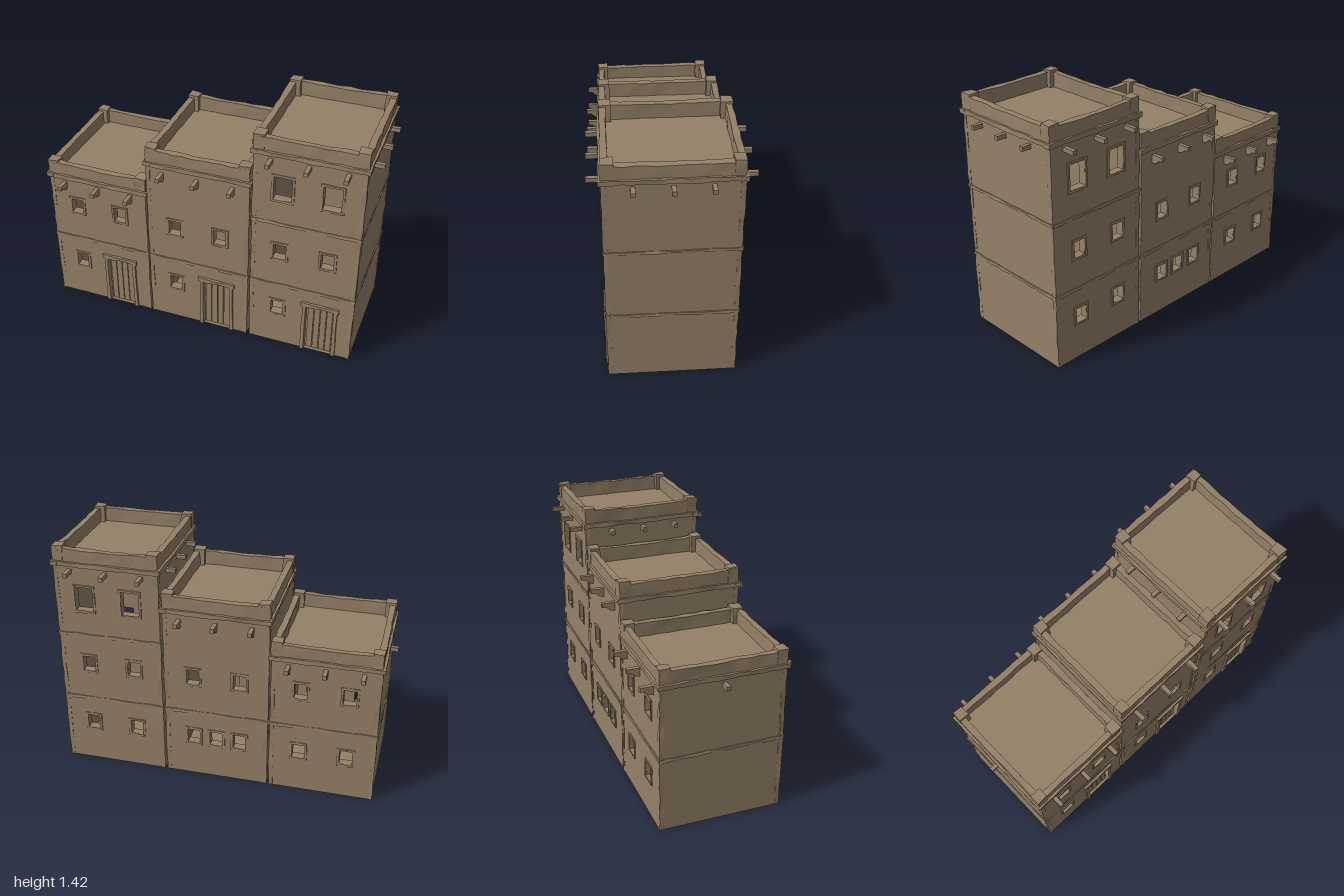
import * as THREE from 'three';
import { toCreasedNormals } from 'three/addons/utils/BufferGeometryUtils.js';

const clay = new THREE.MeshStandardMaterial({ color: 0x958168 });
clay.name = 'clay';

const FRONT = 0.355, THICK = 0.045, HALF = 0.31;

// Repeatable value in -1..1 from a position
function hash(x, y, z) {
  const s = Math.sin(Math.round(x * 500) * 12.99 + Math.round(y * 500) * 78.23 + Math.round(z * 500) * 37.72) * 43758.5;
  return (s - Math.floor(s)) * 2 - 1;
}

function add(parent, geometry, name, x = 0, y = 0, z = 0) {
  const mesh = new THREE.Mesh(geometry, clay);
  mesh.name = name;
  mesh.position.set(x, y, z);
  parent.add(mesh);
  return mesh;
}

function box(parent, name, w, h, d, x, y, z) {
  return add(parent, new THREE.BoxGeometry(w, h, d), name, x, y, z);
}

// Hand-plastered box: subdivided along its length and worn unevenly
function roughBox(parent, name, w, h, d, x, y, z, amount = 0.004, sag = 0) {
  const seg = (s) => Math.max(1, Math.round(s / 0.055));
  const g = new THREE.BoxGeometry(w, h, d, seg(w), seg(h), seg(d));
  const p = g.attributes.position;
  const long = Math.max(w, d);
  for (let i = 0; i < p.count; i++) {
    const a = p.getX(i), b = p.getY(i), c = p.getZ(i);
    const px = a + x, py = b + y, pz = c + z;
    const t = (w > d ? a : c) / (long / 2);
    const drop = b > 0 ? sag * (1 - t * t) : 0;
    p.setXYZ(i,
      a + hash(px, py, pz) * amount,
      py < h / 2 + 0.001 && b < 0 ? b : b + hash(pz, px, py) * amount - drop,
      c + hash(py, pz, px) * amount);
  }
  return add(parent, toCreasedNormals(g, 0.7), name, x, y, z);
}

// Four rough strips running round a building
function ring(parent, name, y, h, out, depth, amount, sag = 0) {
  const w = HALF + out, l = FRONT + out;
  for (const s of [-1, 1]) {
    roughBox(parent, name, w * 2, h, depth, 0, y, s * (l - depth / 2), amount, sag);
    roughBox(parent, name, depth, h, l * 2, s * (w - depth / 2), y, 0, amount, sag);
  }
}

// Wall with rectangular openings [x, y, width, height], y at the centre
function wall(parent, name, height, openings, side) {
  const shape = new THREE.Shape();
  shape.moveTo(-HALF, 0).lineTo(HALF, 0).lineTo(HALF, height).lineTo(-HALF, height).closePath();
  for (const [x, y, w, h] of openings) {
    const hole = new THREE.Path();
    hole.moveTo(x - w / 2, y - h / 2).lineTo(x - w / 2, y + h / 2)
      .lineTo(x + w / 2, y + h / 2).lineTo(x + w / 2, y - h / 2).closePath();
    shape.holes.push(hole);
  }
  const g = new THREE.ExtrudeGeometry(shape, { depth: THICK, bevelEnabled: false });
  add(parent, g, name, 0, 0, side > 0 ? FRONT - THICK : -FRONT);
}

function windowFrame(parent, [x, y, w, h], side) {
  const b = 0.014, z = side * FRONT;
  for (const s of [-1, 1]) {
    roughBox(parent, 'windowFrame', b, h + b * 2, 0.012, x + s * (w + b) / 2, y, z, 0.002);
    roughBox(parent, 'windowFrame', w + b, b, 0.012, x, y + s * (h + b) / 2, z, 0.002);
  }
}

function door(parent, x) {
  const group = new THREE.Group();
  group.name = 'door';
  group.position.x = x;
  parent.add(group);
  box(group, 'doorBack', 0.18, 0.33, 0.012, 0, 0.165, FRONT - 0.03);
  for (let i = 0; i < 4; i++) {
    box(group, 'doorPlank', 0.034, 0.31, 0.012, -0.057 + i * 0.038, 0.16, FRONT - 0.021);
  }
  for (const s of [-1, 1]) {
    roughBox(group, 'doorPost', 0.022, 0.35, 0.04, s * 0.094, 0.175, FRONT - 0.008, 0.003);
  }
  roughBox(group, 'doorLintel', 0.225, 0.025, 0.04, 0, 0.345, FRONT - 0.006, 0.003);
}

// Roof beam end pointing along +z, turned to face its wall
function beam(parent, x, y, z, turn, length, bracket) {
  const group = new THREE.Group();
  group.name = 'roofBeam';
  group.position.set(x, y, z);
  group.rotation.y = turn;
  parent.add(group);
  box(group, 'beamEnd', 0.024, 0.025, length + 0.03, 0, 0, length / 2 - 0.015);
  if (bracket) {
    const s = new THREE.Shape();
    s.moveTo(0, 0).lineTo(0, -0.028).lineTo(-0.025, -0.025).lineTo(-0.055, 0).closePath();
    const g = new THREE.ExtrudeGeometry(s, { depth: 0.02, bevelEnabled: false });
    g.translate(0, 0, -0.01).rotateY(Math.PI / 2);
    add(group, g, 'beamBracket', 0, -0.011, 0);
  }
}

function building({ name, x, roof, top, beamY, bands, bracket, upper, backGround }) {
  const house = new THREE.Group();
  house.name = name;
  house.position.x = x;

  // Openings
  const front = [[-0.142, 0.272, 0.075, 0.09], ...upper];
  const back = [...backGround.map((wx) => [wx, 0.272, 0.075, 0.09]), ...upper];
  wall(house, 'frontWall', roof, [...front, [0.117, 0.166, 0.18, 0.33]], 1);
  wall(house, 'backWall', roof, back, -1);
  front.forEach((o) => windowFrame(house, o, 1));
  back.forEach((o) => windowFrame(house, o, -1));
  door(house, 0.117);

  // Side walls, base and roof
  for (const s of [-1, 1]) {
    box(house, 'sideWall', THICK, roof, (FRONT - THICK) * 2, s * (HALF - THICK / 2), roof / 2, 0);
  }
  box(house, 'base', (HALF - THICK) * 2, 0.02, (FRONT - THICK) * 2, 0, 0.01, 0);
  box(house, 'roof', HALF * 2, 0.03, FRONT * 2, 0, roof - 0.012, 0);

  // Worn corners, storey ledges and cornice
  for (const sx of [-1, 1]) for (const sz of [-1, 1]) {
    roughBox(house, 'cornerEdge', 0.025, roof, 0.025, sx * (HALF - 0.011), roof / 2, sz * (FRONT - 0.011), 0.003);
    roughBox(house, 'parapetCorner', 0.064, top - roof, 0.064,
      sx * (HALF - 0.03), (roof + top) / 2, sz * (FRONT - 0.03), 0.004);
  }
  bands.forEach((y) => ring(house, 'storeyLedge', y, 0.018, 0.005, 0.025, 0.003));
  ring(house, 'cornice', roof, 0.026, 0.013, 0.04, 0.003);
  ring(house, 'parapet', (roof + top - 0.012) / 2, top - roof - 0.012, 0, 0.036, 0.003, 0.006);

  // Beams at the front and back
  for (const bx of [-0.212, 0, 0.212]) {
    beam(house, bx, beamY, FRONT, 0, 0.075, bracket);
    beam(house, bx, beamY, -FRONT, Math.PI, 0.075, bracket);
  }
  return house;
}

export function createModel() {
  const model = new THREE.Group();
  model.name = 'clayHouses';
  const row = [-0.142, 0.137].map((wx) => [wx, 0.68, 0.075, 0.095]);
  const tall = [-0.139, 0.137].map((wx) => [wx, 1.102, 0.105, 0.145]);

  const low = building({
    name: 'lowHouse', x: -0.637, roof: 0.875, top: 0.975, beamY: 0.83,
    bands: [0.44], bracket: true, upper: row, backGround: [-0.142, 0.137],
  });
  const middle = building({
    name: 'middleHouse', x: -0.004, roof: 1.09, top: 1.195, beamY: 1.035,
    bands: [0.44], bracket: true, upper: row, backGround: [-0.142, 0, 0.137],
  });
  const high = building({
    name: 'highHouse', x: 0.633, roof: 1.313, top: 1.417, beamY: 1.27,
    bands: [0.44, 0.87], bracket: false, upper: [...row, ...tall], backGround: [-0.142, 0.137],
  });

  // Beams on the open sides
  beam(low, -HALF, 0.83, 0, -Math.PI / 2, 0.053, false);
  for (const z of [-0.2, 0, 0.2]) for (const s of [-1, 1]) {
    beam(high, s * HALF, 1.27, z, s * Math.PI / 2, 0.057, false);
  }
  model.add(low, middle, high);
  return model;
}
